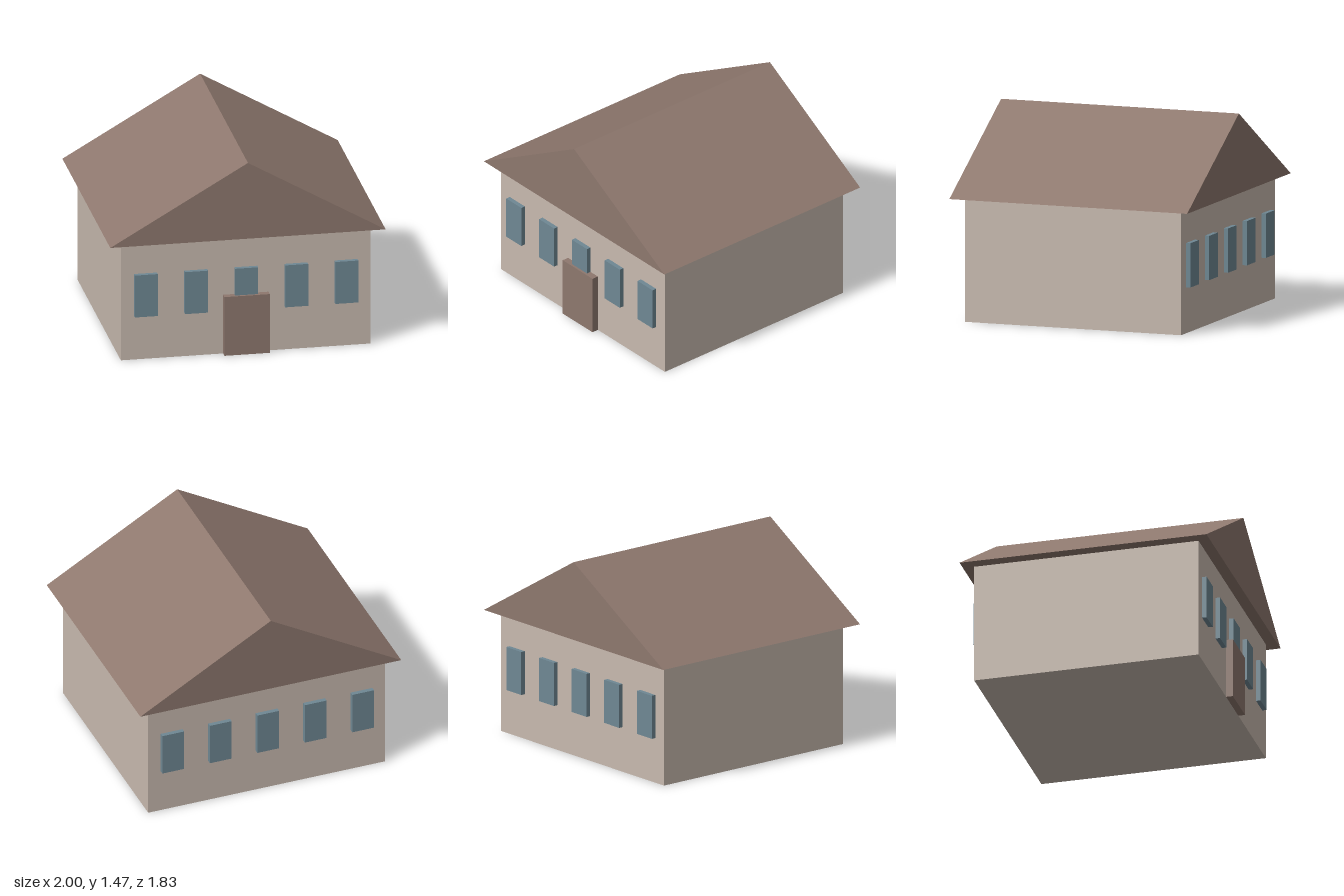
import * as THREE from 'three';

const material = (name, color) => {
  const m = new THREE.MeshStandardMaterial({ color });
  m.name = name;
  return m;
};

export function createModel() {
  const house = new THREE.Group();
  house.name = 'house';
  const wallBeige = material('wallBeige', 0xc8baaf);
  const roofBrown = material('roofBrown', 0x8e786e);
  const windowBlue = material('windowBlue', 0x6f8894);

  const add = (name, geometry, mat, x, y, z) => {
    const mesh = new THREE.Mesh(geometry, mat);
    mesh.name = name;
    mesh.position.set(x, y, z);
    house.add(mesh);
  };

  const wallHeight = 0.895, wallDepth = 1.66, wallZ = wallDepth / 2;

  // Main block
  add('walls', new THREE.BoxGeometry(1.815, wallHeight, wallDepth), wallBeige, 0, wallHeight / 2, 0);

  // Solid gable roof with overhanging eaves, ridge running front to back
  const gable = new THREE.Shape([
    new THREE.Vector2(-1, 0),
    new THREE.Vector2(1, 0),
    new THREE.Vector2(0, 0.578),
  ]);
  const roofDepth = 1.826;
  add('roof', new THREE.ExtrudeGeometry(gable, { depth: roofDepth, bevelEnabled: false }),
    roofBrown, 0, wallHeight, -roofDepth / 2);

  // Front door slab
  add('door', new THREE.BoxGeometry(0.33, 0.448, 0.05), roofBrown, 0, 0.224, wallZ + 0.025);

  // Five raised windows on the front and five on the back
  const pane = new THREE.BoxGeometry(0.167, 0.32, 0.033);
  for (const [side, sign] of [['front', 1], ['back', -1]]) {
    for (let i = -2; i <= 2; i++) {
      add(`${side}Window${i + 3}`, pane, windowBlue, i * 0.364, 0.492, sign * (wallZ + 0.0165));
    }
  }
  return house;
}
